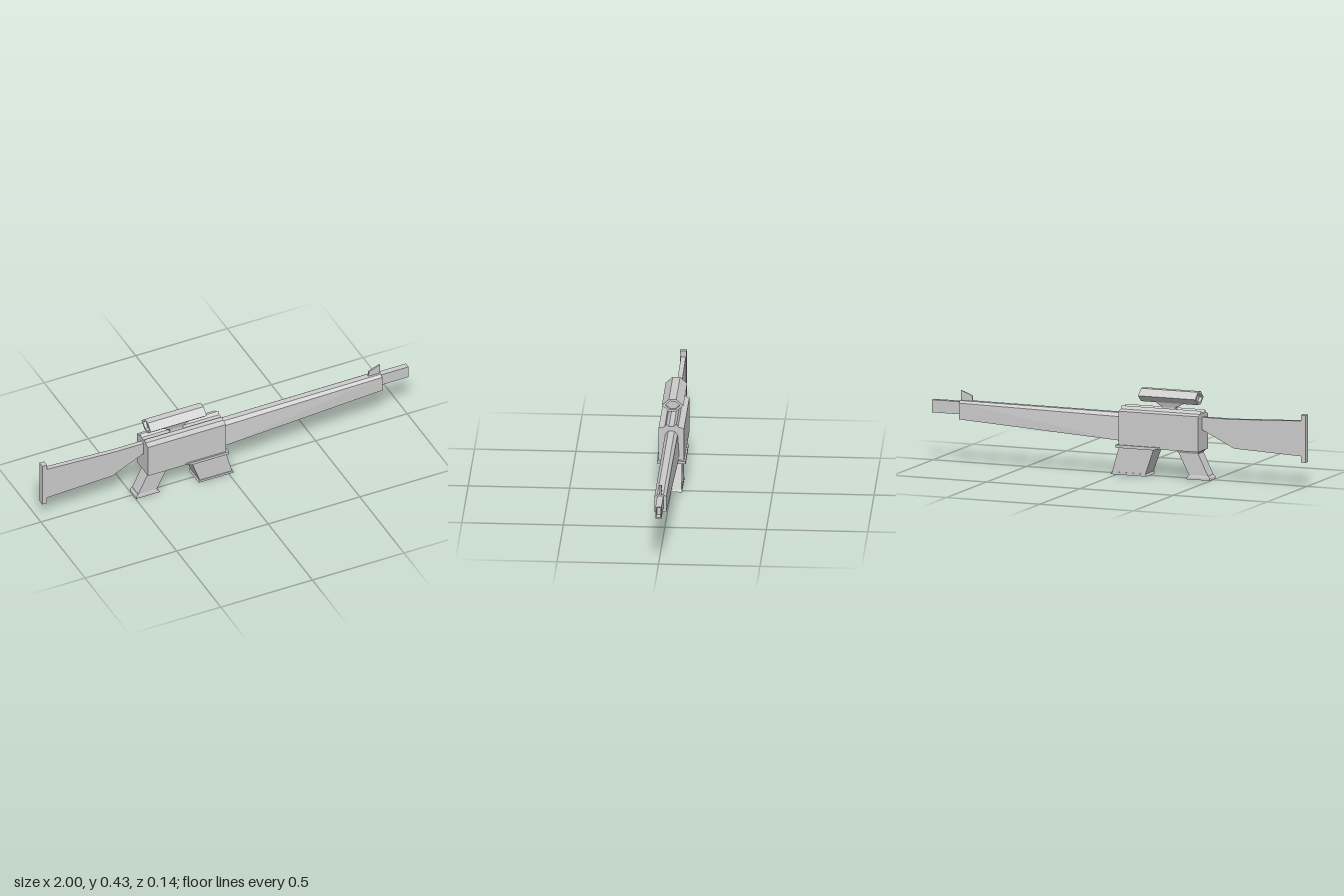
import * as THREE from 'three';
import { ConvexGeometry } from 'three/addons/geometries/ConvexGeometry.js';

const material = new THREE.MeshStandardMaterial({ color: 0xcccccc, flatShading: true });

const toShape = (pts) => new THREE.Shape(pts.map(([a, b]) => new THREE.Vector2(a, b)));

// Mirror a half outline (z, y), listed bottom to top, into a closed one
const mirrored = (half) => [...half, ...half.slice().reverse().map(([z, y]) => [-z, y])];

// Side outline (x, y) given a thickness across z
function slab(pts, halfWidth) {
  return new THREE.ExtrudeGeometry(toShape(pts), { depth: halfWidth * 2, bevelEnabled: false })
    .translate(0, 0, -halfWidth);
}

// Symmetric cross-section (z, y) run along x, optionally hollow
function bar(half, x0, x1, holeHalf) {
  const shape = toShape(mirrored(half));
  if (holeHalf) shape.holes.push(toShape(mirrored(holeHalf)));
  return new THREE.ExtrudeGeometry(shape, { depth: x1 - x0, bevelEnabled: false })
    .rotateY(Math.PI / 2).translate(x0, 0, 0);
}

// Tapered block through rectangular levels [y, xBack, xFront, halfWidth]
function taper(...levels) {
  const pts = [];
  for (const [y, xa, xb, w] of levels)
    for (const x of [xa, xb]) for (const z of [-w, w]) pts.push(new THREE.Vector3(x, y, z));
  return new ConvexGeometry(pts);
}

export function createModel() {
  const model = new THREE.Group();
  const add = (name, geometry) => {
    const mesh = new THREE.Mesh(geometry, material);
    mesh.name = name;
    model.add(mesh);
  };

  // Shoulder stock and its end plate
  add('stock', slab([[-0.98, 0.15], [-0.615, 0.165], [-0.44, 0.25], [-0.44, 0.31],
    [-0.6, 0.31], [-0.98, 0.327]], 0.012));
  add('buttPlate', slab([[-1, 0.12], [-0.975, 0.12], [-0.975, 0.357], [-1, 0.357]], 0.016));

  // Receiver with two raised rails along the top
  add('receiver', bar([[0.063, 0.143], [0.063, 0.32], [0.033, 0.327], [0.025, 0.343], [0.012, 0.33]],
    -0.445, -0.02));

  // Handguard, tapering towards the muzzle
  const guard = [];
  for (const [x, half] of [
    [-0.025, [[0.039, 0.169], [0.031, 0.287], [0.015, 0.305]]],
    [0.85, [[0.029, 0.216], [0.029, 0.297], [0.015, 0.308]]],
  ]) for (const [z, y] of mirrored(half)) guard.push(new THREE.Vector3(x, y, z));
  add('handguard', new ConvexGeometry(guard));

  // Hollow muzzle with a closed rear end
  add('muzzle', bar([[0.015, 0.239], [0.015, 0.302]], 0.845, 1, [[0.011, 0.246], [0.011, 0.295]]));
  add('muzzleCore', bar([[0.0112, 0.2458], [0.0112, 0.2952]], 0.85, 0.96));
  add('frontSight', slab([[0.785, 0.3], [0.85, 0.3], [0.85, 0.358], [0.79, 0.335]], 0.004));

  // Scope: hexagonal tube with recessed ends, on a flared mount
  add('scopeBody', bar([[0.018, 0.37], [0.053, 0.402], [0.018, 0.434]], -0.425, -0.12,
    [[0.013, 0.38], [0.036, 0.402], [0.013, 0.424]]));
  add('scopeLenses', bar([[0.0132, 0.3798], [0.0363, 0.402], [0.0132, 0.4242]], -0.41, -0.135));
  add('scopeMount', taper([0.372, -0.35, -0.195, 0.018], [0.347, -0.3, -0.23, 0.01]));
  add('scopeMountFoot', taper([0.348, -0.3, -0.23, 0.01], [0.325, -0.3, -0.23, 0.01]));

  // Pistol grip with collar and flared base
  add('gripCollar', taper([0.146, -0.445, -0.315, 0.046], [0.129, -0.432, -0.33, 0.037]));
  add('grip', taper([0.135, -0.43, -0.325, 0.034], [0.018, -0.487, -0.385, 0.034]));
  add('gripBase', taper([0.022, -0.487, -0.385, 0.034], [0.012, -0.495, -0.376, 0.037],
    [0, -0.497, -0.368, 0.037]));

  // Magazine well, magazine and base plate
  add('magazineWell', taper([0.153, -0.242, -0.006, 0.071], [0.138, -0.21, -0.006, 0.071]));
  add('magazine', taper([0.145, -0.205, -0.018, 0.053], [0.01, -0.157, 0.02, 0.053]));
  add('magazineBase', taper([0.014, -0.16, 0.022, 0.056], [0.002, -0.165, 0.027, 0.056]));

  return model;
}
